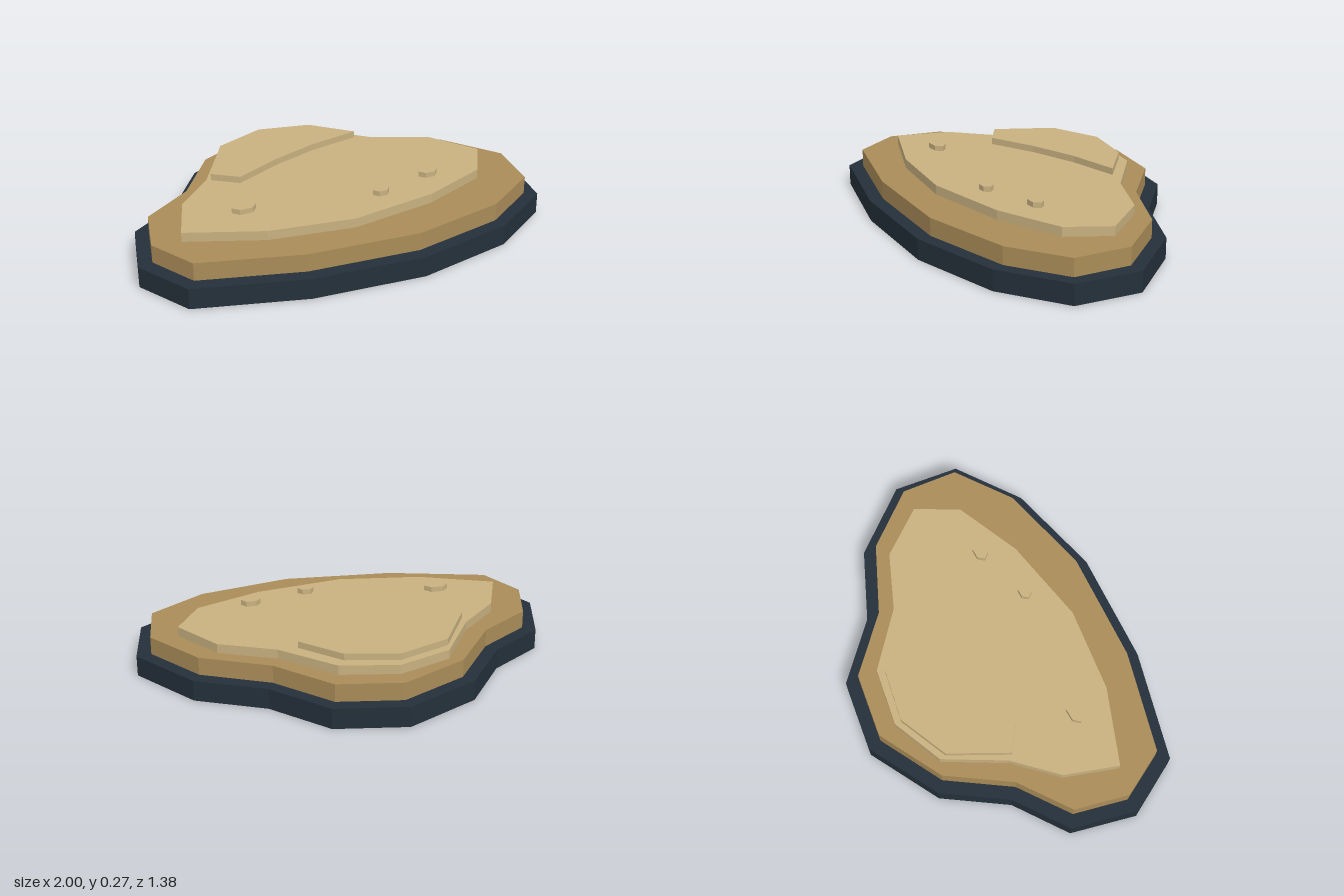
import * as THREE from 'three';
import { mergeGeometries } from 'three/addons/utils/BufferGeometryUtils.js';

const material = (name, color) => {
  const m = new THREE.MeshStandardMaterial({ color, side: THREE.DoubleSide });
  m.name = name;
  return m;
};

// Open-bottomed slab: vertical walls around an outline of [x, z] points, plus a flat top
function slab(outline, y0, y1) {
  const pos = [];
  outline.forEach(([ax, az], i) => {
    const [bx, bz] = outline[(i + 1) % outline.length];
    pos.push(bx, y0, bz, ax, y0, az, ax, y1, az);
    pos.push(bx, y0, bz, ax, y1, az, bx, y1, bz);
  });
  const walls = new THREE.BufferGeometry();
  walls.setAttribute('position', new THREE.Float32BufferAttribute(pos, 3));
  const shape = new THREE.Shape(outline.map(([x, z]) => new THREE.Vector2(x, -z)));
  const top = new THREE.ShapeGeometry(shape).toNonIndexed();
  top.rotateX(-Math.PI / 2).translate(0, y1, 0);
  top.deleteAttribute('uv');
  top.deleteAttribute('normal');
  const geometry = mergeGeometries([walls, top]);
  geometry.computeVertexNormals();
  return geometry;
}

const hexagon = (x, z, rx, rz) => Array.from({ length: 6 }, (_, i) => {
  const a = i * Math.PI / 3;
  return [x + rx * Math.cos(a), z + rz * Math.sin(a) / Math.sin(Math.PI / 3)];
});

// Outlines run back, right, front, left as seen from above
const baseOutline = [
  [-0.13, -0.69], [0.21, -0.635], [0.45, -0.395], [0.77, -0.245], [1, 0.06], [0.955, 0.375], [0.65, 0.58],
  [0.19, 0.685], [-0.345, 0.65], [-0.86, 0.51], [-1, 0.25], [-0.92, -0.06], [-0.67, -0.23], [-0.475, -0.51],
];
const earthOutline = [
  [-0.12, -0.625], [0.185, -0.575], [0.42, -0.34], [0.735, -0.19], [0.93, 0.07], [0.9, 0.34], [0.635, 0.52],
  [0.19, 0.62], [-0.34, 0.585], [-0.815, 0.455], [-0.93, 0.235], [-0.865, -0.02], [-0.625, -0.185], [-0.43, -0.465],
];
const sandOutline = [
  [-0.12, -0.54], [0.15, -0.49], [0.385, -0.275], [0.645, -0.16], [0.8, 0.06], [0.685, 0.255], [0.37, 0.385],
  [-0.05, 0.455], [-0.45, 0.4], [-0.8, 0.26], [-0.71, 0.01], [-0.53, -0.17], [-0.37, -0.44],
];
const plateauOutline = [
  [-0.13, -0.51], [0.12, -0.46], [0.295, -0.295], [0.05, -0.245],
  [-0.18, -0.165], [-0.4, -0.06], [-0.515, -0.145], [-0.37, -0.41],
];

export function createModel() {
  const group = new THREE.Group();
  group.name = 'terrainIsland';
  const slate = material('darkSlate', 0x24303a);
  const earth = material('earthTan', 0xaa8c58);
  const sand = material('lightSand', 0xc8b180);

  const add = (name, mat, outline, y0, y1) => {
    const mesh = new THREE.Mesh(slab(outline, y0, y1), mat);
    mesh.name = name;
    group.add(mesh);
  };

  // Stacked terraces; the earth tier is sunk into the base
  add('base', slate, baseOutline, 0, 0.1);
  add('earthTier', earth, earthOutline, 0.055, 0.186);
  add('sandTier', sand, sandOutline, 0.186, 0.231);
  add('plateau', sand, plateauOutline, 0.24, 0.272);

  // Small flat stones
  [[-0.485, 0.205, 0.058, 0.03], [0.148, 0.305, 0.04, 0.026], [0.432, 0.223, 0.048, 0.029]]
    .forEach((s, i) => add(`stone${i + 1}`, sand, hexagon(...s), 0.243, 0.268));

  return group;
}
